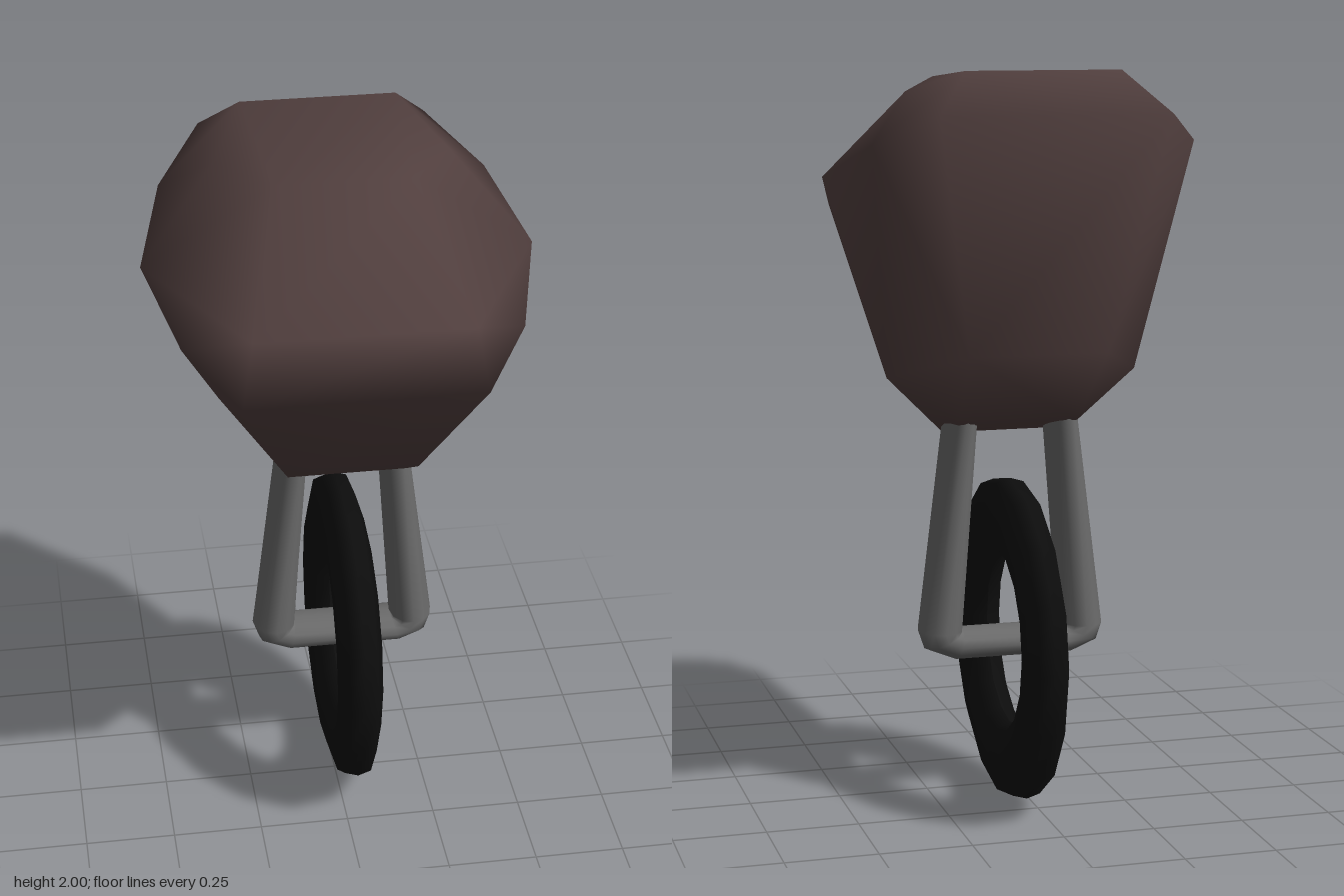
import * as THREE from 'three';
import { mergeVertices } from 'three/addons/utils/BufferGeometryUtils.js';
import { ConvexGeometry } from 'three/addons/geometries/ConvexGeometry.js';

const mat = (name, color, side = THREE.FrontSide) => {
  const m = new THREE.MeshStandardMaterial({ color, side });
  m.name = name;
  return m;
};

// Axle, forks and wheel share this centre line
const CX = 0.035, CZ = -0.093;

// Faceted body: mirrored pairs [centre x, half width, y, z]
function bodyGeometry() {
  const pairs = [
    // tilted widest ring
    [0, 0.31, 1.89, -0.43], [0, 0.44, 1.81, -0.22], [0, 0.515, 1.71, 0.06],
    [0, 0.44, 1.61, 0.34], [0, 0.31, 1.54, 0.545],
    // crown
    [0, 0.21, 2.0, -0.3], [0, 0.31, 1.94, -0.05], [0, 0.18, 1.97, 0.18], [0, 0.28, 1.71, 0.52],
    // narrow underside
    [0.055, 0.185, 1.28, -0.45], [0.045, 0.345, 1.19, -0.15], [0.035, 0.17, 1.11, 0.16],
    [0.035, 0.165, 1.01, 0.0], [0.035, 0.165, 1.06, -0.18],
  ];
  const pts = pairs.flatMap(([c, w, y, z]) => [-1, 1].map(s => new THREE.Vector3(c + s * w, y, z)));
  let g = new ConvexGeometry(pts);
  g.deleteAttribute('normal');
  g = mergeVertices(g, 1e-4);
  g.computeVertexNormals();
  return g;
}

// U-shaped fork: oval sections, each spanning an outer and an inner point
function forkGeometry() {
  const half = [ // outer x, outer y, inner x, inner y, half depth
    [0.172, 1.15, 0.092, 1.15, 0.094], [0.26, 0.48, 0.138, 0.48, 0.076],
    [0.243, 0.43, 0.138, 0.48, 0.075], [0.165, 0.398, 0.138, 0.482, 0.075],
  ];
  const rings = [
    ...half.map(([a, b, c, d, w]) => [-a, b, -c, d, w]),
    ...half.slice().reverse(),
  ];
  const N = 12, pos = [], idx = [];
  rings.forEach(([ox, oy, ix, iy, w], r) => {
    for (let i = 0; i < N; i++) {
      const a = (i / N) * Math.PI * 2, t = (1 + Math.cos(a)) / 2;
      pos.push(CX + ix + (ox - ix) * t, iy + (oy - iy) * t, CZ + w * Math.sin(a));
      if (r === 0) continue;
      const j = (i + 1) % N, p = (r - 1) * N, q = r * N;
      idx.push(p + i, p + j, q + i, p + j, q + j, q + i);
    }
  });
  const g = new THREE.BufferGeometry();
  g.setAttribute('position', new THREE.Float32BufferAttribute(pos, 3));
  g.setIndex(idx);
  g.computeVertexNormals();
  return g;
}

// Flattened ring tyre with sixteen sides
function wheelGeometry() {
  const profile = [
    [0.243, 0], [0.26, -0.04], [0.35, -0.064], [0.435, -0.038], [0.446, 0],
    [0.435, 0.038], [0.35, 0.064], [0.26, 0.04], [0.243, 0],
  ].map(([r, h]) => new THREE.Vector2(r, h));
  return new THREE.LatheGeometry(profile, 16).rotateZ(Math.PI / 2);
}

export function createModel() {
  const group = new THREE.Group();
  const add = (name, geometry, material) => {
    const mesh = new THREE.Mesh(geometry, material);
    mesh.name = name;
    group.add(mesh);
    return mesh;
  };
  add('body', bodyGeometry(), mat('dark brown', 0x513f3e));
  add('fork', forkGeometry(), mat('grey metal', 0x6b6b6b, THREE.DoubleSide));
  add('wheel', wheelGeometry(), mat('black rubber', 0x0d0d0d)).position.set(CX, 0.446, CZ);
  return group;
}
